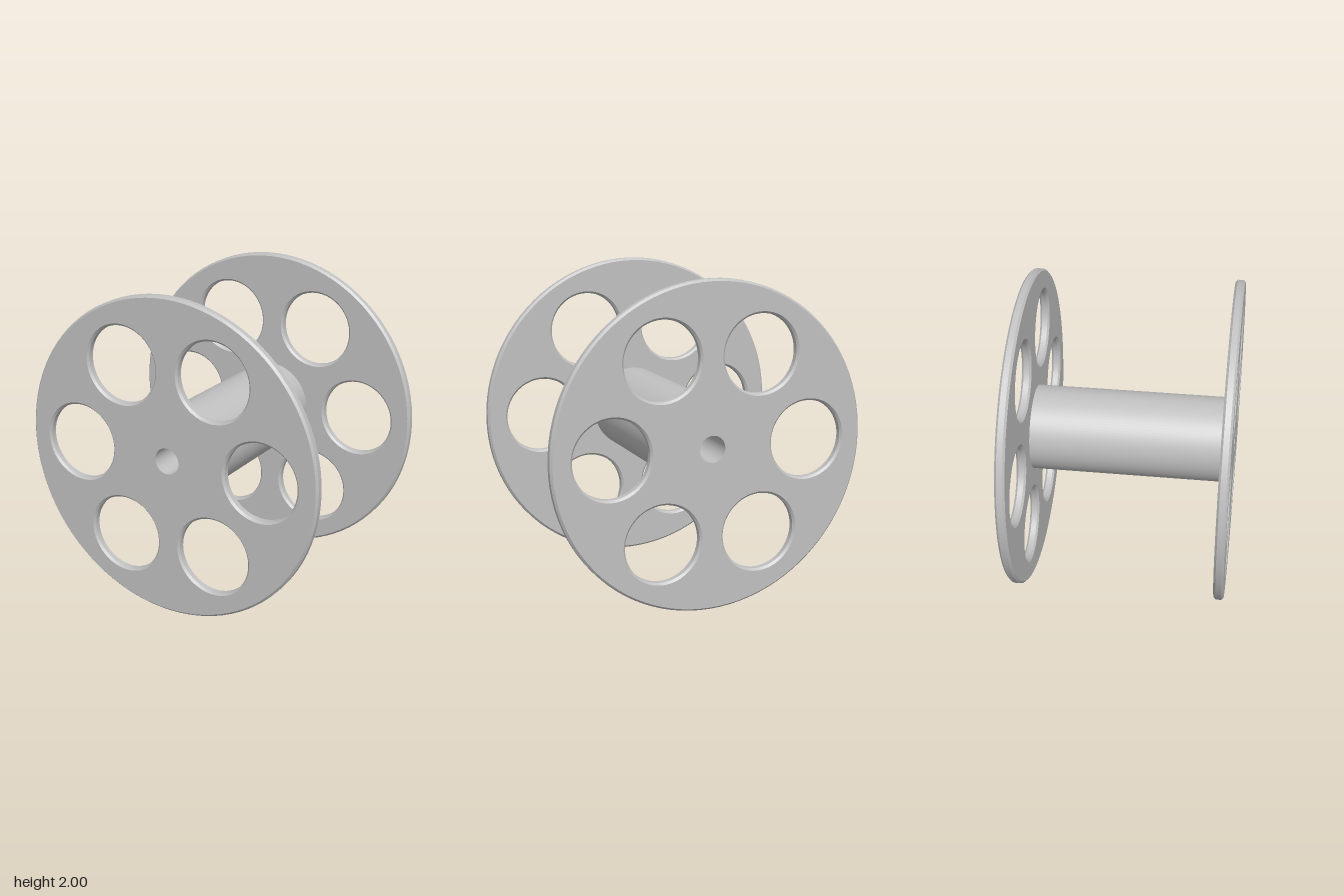
import * as THREE from 'three';
import { mergeGeometries } from 'three/addons/utils/BufferGeometryUtils.js';

const SEG = 96;
const RIM = 1, HOLE = 0.238, HOLE_RING = 0.63, BORE = 0.082, HUB = 0.267;
const INNER = 0.6, OUTER = 0.66, BEVEL = 0.013;

// Surface of revolution about z with a crisp edge at every profile point [radius, z].
// Rising z faces outward, falling z faces the axis.
function turned(profile, x = 0, y = 0) {
  const bands = [];
  for (let i = 0; i + 1 < profile.length; i++) {
    const pts = [profile[i], profile[i + 1]].map(([r, z]) => new THREE.Vector2(r, z));
    bands.push(new THREE.LatheGeometry(pts, SEG));
  }
  return mergeGeometries(bands).rotateX(Math.PI / 2).translate(x, y, 0);
}

// Disc with chamfered rim, six chamfered windows and a plain centre hole
function flangeGeometry(z0, z1) {
  const centres = [];
  for (let i = 0; i < 6; i++) {
    const a = (i * Math.PI) / 3;
    centres.push([HOLE_RING * Math.cos(a), HOLE_RING * Math.sin(a)]);
  }
  const circle = (path, x, y, r) => path.absarc(x, y, r, 0, Math.PI * 2, false);
  const shape = circle(new THREE.Shape(), 0, 0, RIM - BEVEL);
  shape.holes.push(circle(new THREE.Path(), 0, 0, BORE));
  for (const [x, y] of centres) shape.holes.push(circle(new THREE.Path(), x, y, HOLE + BEVEL));

  const face = new THREE.ShapeGeometry(shape, SEG / 2);
  const parts = [
    face.clone().translate(0, 0, z1),
    face.clone().rotateY(Math.PI).translate(0, 0, z0),
    turned([[RIM - BEVEL, z0], [RIM, z0 + BEVEL], [RIM, z1 - BEVEL], [RIM - BEVEL, z1]]),
    turned([[BORE, z1], [BORE, z0]]),
  ];
  const wall = [[HOLE + BEVEL, z1], [HOLE, z1 - BEVEL], [HOLE, z0 + BEVEL], [HOLE + BEVEL, z0]];
  for (const [x, y] of centres) parts.push(turned(wall, x, y));
  return mergeGeometries(parts);
}

export function createModel() {
  const model = new THREE.Group();
  model.name = 'spool';
  const grey = new THREE.MeshStandardMaterial({ color: 0xc0c0c0 });
  grey.name = 'light grey';

  const add = (name, geometry) => {
    const mesh = new THREE.Mesh(geometry, grey);
    mesh.name = name;
    mesh.position.y = 1;
    model.add(mesh);
  };

  add('frontFlange', flangeGeometry(INNER, OUTER));
  add('backFlange', flangeGeometry(-OUTER, -INNER));

  // Hub barrel and the axle bore running through it
  add('hub', turned([[HUB, -INNER], [HUB, INNER]]));
  add('axleBore', turned([[BORE, INNER], [BORE, -INNER]]));
  return model;
}
